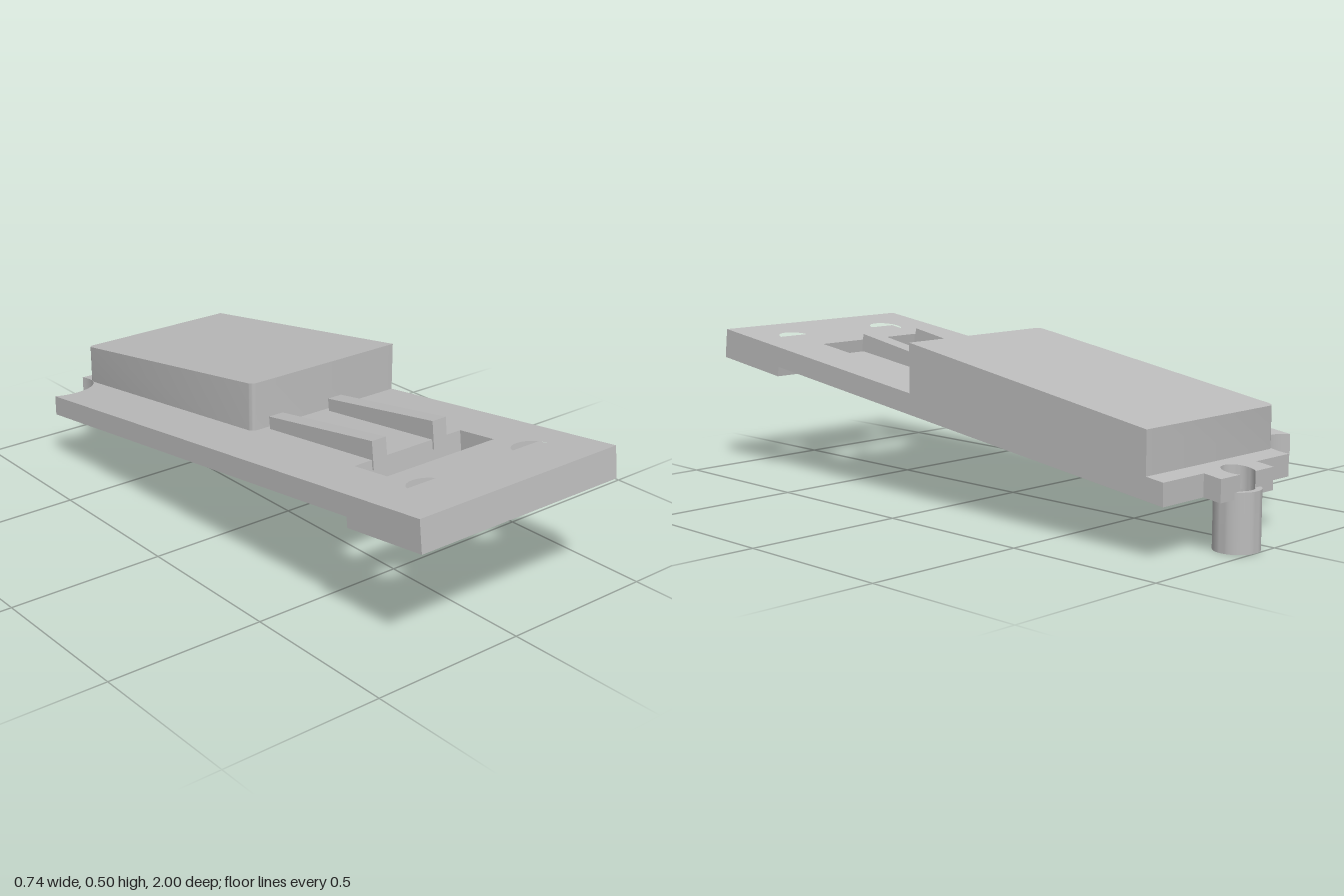
import * as THREE from 'three';
import { toCreasedNormals } from 'three/addons/utils/BufferGeometryUtils.js';

const SLOPE = 0.128;
const plane = (height, slope = SLOPE) => (z) => height + slope * z;
const PLATE_TOP = plane(0.339);

// Points [x, z] along an arc seen in plan
function arc(cx, cz, r, from, to, steps) {
  return Array.from({ length: steps + 1 }, (_, i) => {
    const t = from + ((to - from) * i) / steps;
    return [cx + r * Math.cos(t), cz + r * Math.sin(t)];
  });
}
const circle = (cx, cz, r) => arc(cx, cz, r, 0, Math.PI * 2, 40).slice(0, -1);
const rect = (x0, x1, z0, z1) => [[x0, z0], [x1, z0], [x1, z1], [x0, z1]];
const toVectors = (points) => points.map(([x, z]) => new THREE.Vector2(x, -z));

// Plan outline filled between two sloping planes; walls square to the plate where lean is set
function slab(outline, holes, bottom, top, lean, adjust) {
  const shape = new THREE.Shape(toVectors(outline));
  holes.forEach((h) => shape.holes.push(new THREE.Path(toVectors(h))));
  const geo = new THREE.ExtrudeGeometry(shape, { depth: 1, bevelEnabled: false });
  geo.rotateX(-Math.PI / 2);
  const pos = geo.attributes.position;
  const v = new THREE.Vector3();
  for (let i = 0; i < pos.count; i++) {
    v.fromBufferAttribute(pos, i);
    const level = v.y > 0.5 ? top : bottom;
    if (adjust) adjust(v);
    if (lean && v.z > -0.7) v.z += SLOPE * (PLATE_TOP(v.z) - level(v.z));
    pos.setXYZ(i, v.x, level(v.z), v.z);
  }
  return toCreasedNormals(geo, 0.6);
}

export function createModel() {
  const model = new THREE.Group();
  const grey = new THREE.MeshStandardMaterial({ color: 0xbcbcbc });
  grey.name = 'light grey';
  const add = (name, geo) => {
    const mesh = new THREE.Mesh(geo, grey);
    mesh.name = name;
    model.add(mesh);
    return mesh;
  };

  const W = 0.368, STEP = 0.7, FRONT = 0.988;
  const tubeX = 0.083, tubeZ = -0.934, bore = 0.047;

  // Main plate with round corner cutout, rear tab, open bore and slot
  const outline = [
    [-W, STEP], [W, STEP], [W, -0.91], [0.2, -0.91], [0.2, -0.967],
    ...arc(tubeX, tubeZ, bore, -0.78, Math.PI + 0.78, 28),
    [-0.032, -0.967], [-0.032, -0.91],
    ...arc(-0.3, -0.88, 0.12, -0.253, 2.191, 20),
  ];
  add('mainPlate', slab(outline, [rect(-0.205, 0.2, 0.55, 0.685)], plane(0.274), PLATE_TOP, true));

  // Thicker front end: straight holes above, countersinks below
  const screwX = [-0.183, 0.213], screwZ = 0.815;
  const front = rect(-W, W, STEP, FRONT);
  add('frontEnd', slab(front, screwX.map((x) => circle(x, screwZ, 0.055)), plane(0.292), PLATE_TOP, true));
  const narrowTop = (v) => {
    if (v.y < 0.5) return;
    for (const x of screwX) {
      const dx = v.x - x, dz = v.z - screwZ;
      if (Math.hypot(dx, dz) < 0.106) {
        v.x = x + (dx * 0.055) / 0.105;
        v.z = screwZ + (dz * 0.055) / 0.105;
        return;
      }
    }
  };
  add('countersunkPad', slab(front, screwX.map((x) => circle(x, screwZ, 0.105)), plane(0.242), plane(0.292), true, narrowTop));

  // Raised block with two rounded upright edges
  const r = 0.02, x0 = -0.19, z0 = -0.852, z1 = 0.068;
  const block = [
    [W, z0], [W, z1],
    ...arc(x0 + r, z1 - r, r, Math.PI / 2, Math.PI, 6),
    ...arc(x0 + r, z0 + r, r, Math.PI, Math.PI * 1.5, 6),
  ];
  add('raisedBlock', slab(block, [], plane(0.325), plane(0.489, 0.158), false));

  // Pair of rails running up to the slot
  for (const x of [-0.115, 0.115]) {
    add('rail', slab(rect(x - 0.026, x + 0.026, 0.09, 0.556), [], plane(0.31), plane(0.375, 0.167), true));
  }

  // Round foot under the plate
  add('foot', new THREE.CylinderGeometry(0.1, 0.1, 0.05, 48)).position.set(-0.22, 0.252, -0.17);

  // Hollow rear post
  const ring = [[bore, 0], [0.066, 0], [0.066, 0.17], [bore, 0.17], [bore, 0]];
  const post = new THREE.LatheGeometry(ring.map(([a, b]) => new THREE.Vector2(a, b)), 48);
  add('rearPost', toCreasedNormals(post, 0.6)).position.set(tubeX, 0, tubeZ);

  return model;
}
